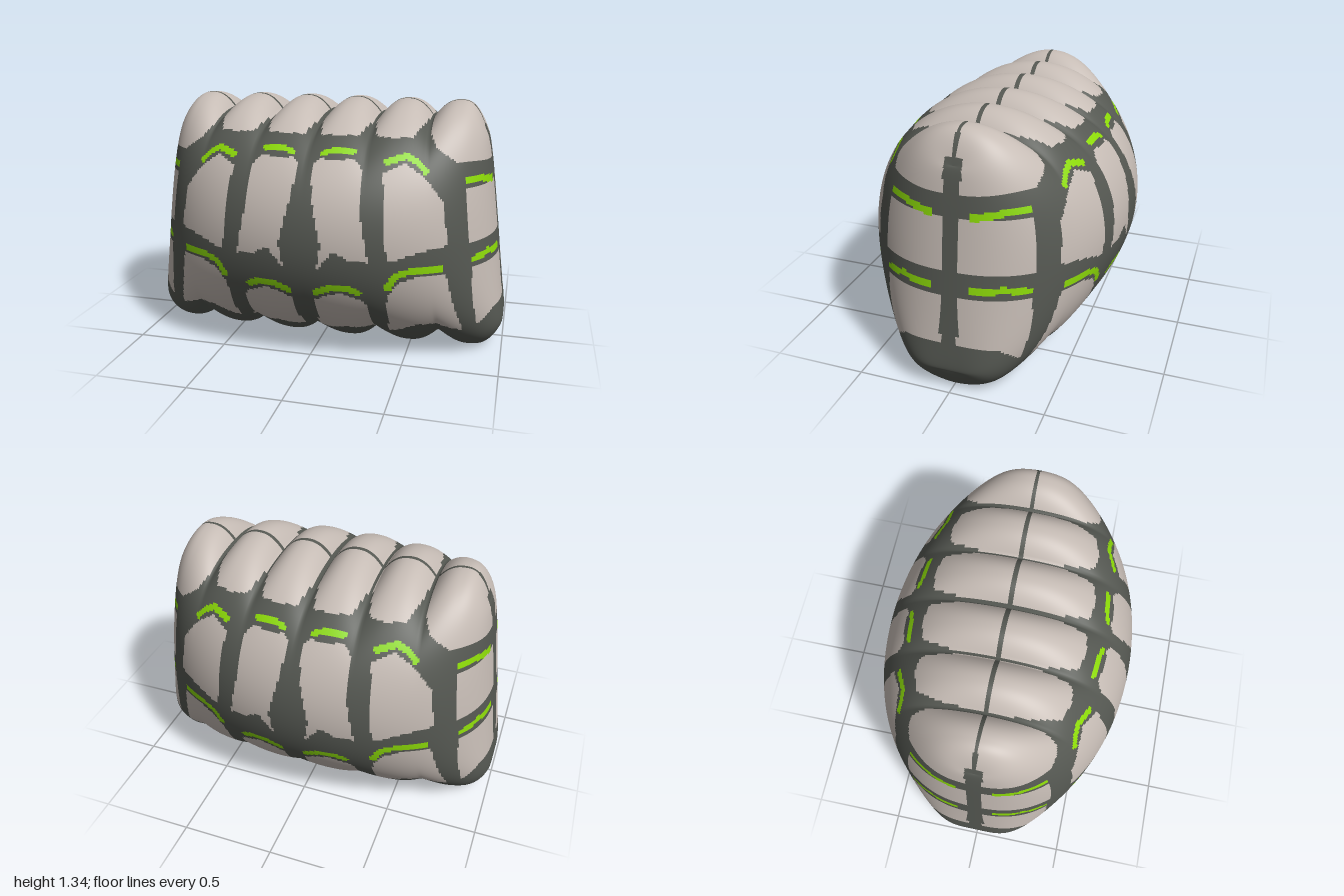
import * as THREE from 'three';

const COLS = 210, ROWS = 170; // columns across x, rows over one half of the ring

const padding = new THREE.MeshStandardMaterial({ color: 0xc6bcb5 });
padding.name = 'pale padding';
const strap = new THREE.MeshStandardMaterial({ color: 0x555852 });
strap.name = 'dark strap';
const trim = new THREE.MeshStandardMaterial({ color: 0x8cda08 });
trim.name = 'green trim';

// Pad outlines on one quarter, mirrored over x and z
const pads = [
  // top row
  [[0.008, 1.4], [0.012, 1.3], [0.045, 1.21], [0.14, 1.195], [0.24, 1.21], [0.275, 1.3], [0.278, 1.4]],
  [[0.29, 1.4], [0.295, 1.3], [0.33, 1.21], [0.42, 1.19], [0.51, 1.2], [0.555, 1.3], [0.565, 1.4]],
  [[0.575, 1.4], [0.585, 1.25], [0.63, 1.15], [0.73, 1.075], [1.1, 1.065], [1.1, 1.4]],
  // middle row
  [[0.035, 1.08], [0.07, 1.1], [0.14, 1.095], [0.24, 1.1], [0.28, 1.07], [0.305, 0.8], [0.345, 0.61],
    [0.25, 0.62], [0.17, 0.665], [0.085, 0.56], [0.11, 0.69], [0.055, 0.91]],
  [[0.39, 1.04], [0.49, 1.085], [0.59, 1.02], [0.68, 0.9], [0.715, 0.68], [0.6, 0.66], [0.43, 0.61], [0.415, 0.8]],
  [[0.78, 0.95], [1.1, 0.93], [1.1, 0.665], [0.81, 0.665]],
  // lower row
  [[0.055, 0.37], [0.12, 0.41], [0.2, 0.43], [0.32, 0.38], [0.345, 0.13], [0.27, 0.15], [0.19, 0.17], [0.05, 0.13]],
  [[0.43, 0.42], [0.49, 0.5], [0.57, 0.525], [0.71, 0.53], [0.75, 0.35], [0.8, 0.17], [0.65, 0.2], [0.57, 0.22], [0.42, 0.15]],
  [[0.83, 0.545], [1.1, 0.545], [1.1, 0.28], [0.95, 0.27], [0.87, 0.2], [0.845, 0.35]],
];

// Trim strokes on one quarter, each with its half thickness
const strokes = [
  [0.012, [[0.08, 1.125], [0.14, 1.137], [0.235, 1.137]]],
  [0.015, [[0.4, 1.09], [0.49, 1.115], [0.545, 1.095], [0.59, 1.05]]],
  [0.016, [[0.79, 0.985], [0.86, 0.98], [0.9, 0.955]]],
  [0.019, [[0.07, 0.42], [0.12, 0.45], [0.2, 0.465], [0.25, 0.455], [0.29, 0.435]]],
  [0.018, [[0.435, 0.47], [0.47, 0.53], [0.52, 0.555], [0.68, 0.56]]],
  [0.018, [[0.845, 0.58], [0.9, 0.595], [0.95, 0.585]]],
];

function inside(poly, x, y) {
  let hit = false;
  poly.forEach(([ax, ay], i) => {
    const [bx, by] = poly[(i + 1) % poly.length];
    if ((ay > y) !== (by > y) && x < ax + (bx - ax) * (y - ay) / (by - ay)) hit = !hit;
  });
  return hit;
}

function nearStroke([radius, line], x, y) {
  for (let i = 0; i + 1 < line.length; i++) {
    const [ax, ay] = line[i], dx = line[i + 1][0] - ax, dy = line[i + 1][1] - ay;
    const k = THREE.MathUtils.clamp(((x - ax) * dx + (y - ay) * dy) / (dx * dx + dy * dy), 0, 1);
    if (Math.hypot(x - ax - k * dx, y - ay - k * dy) < radius) return true;
  }
  return false;
}

// Half width of the cushion, rounded in under the lower corners
const halfWidth = (t) => 0.937 - 0.085 * t - (t < 0 ? 0.03 * t ** 6 : 0);

// Height before the lobes are pressed in
const height = (t) => 0.67 + (t < 0 ? 0.7 : 0.67) * t;

// Inflated cushion: s runs across, t runs from bottom to top
function surfacePoint(s, t, side) {
  const a = Math.abs(s) * 3, lobe = Math.min(2, Math.floor(a));
  const q = (a - lobe) * 2 - 1;
  const outer = lobe === 2 && q > 0;
  const base = t < 0 ? 0.125 : 0.095;
  const drop = outer ? 0.16 * Math.abs(q) ** 2.7 : base * Math.abs(q) ** 2.3;
  const y = Math.max(0, height(t) - Math.sign(t) * drop * t ** 4);
  const endPower = 0.41 - (t < 0 ? 0.3 : 0.1) * t * t;
  const z = side * 0.693 * Math.max(0, 1 - s * s) ** endPower
    * Math.max(0, 1 - t * t) ** (t > 0 ? 0.5 : 0.57);
  return [s * halfWidth(t), y, z];
}

// 0 padding, 1 strap, 2 trim
function region(s, t, z) {
  const x = Math.abs(s) * halfWidth(t), y = height(t), depth = Math.abs(z);
  if (depth < 0.011 || (Math.abs(s) > 0.985 && depth < 0.045)) return 1;
  if (depth > 0.095 && strokes.some((l) => nearStroke(l, x, y))) return 2;
  return pads.some((p) => inside(p, x, y)) ? 0 : 1;
}

export function createModel() {
  const ring = ROWS * 2, positions = [], params = [];
  for (let i = 0; i <= COLS; i++) {
    const s = Math.sin((i / COLS - 0.5) * Math.PI);
    for (let j = 0; j < ring; j++) {
      const k = j <= ROWS ? j / ROWS : 2 - j / ROWS;
      const t = Math.sin((k - 0.5) * Math.PI);
      const p = surfacePoint(s, t, j <= ROWS ? 1 : -1);
      positions.push(...p);
      params.push([s, t, p[2]]);
    }
  }

  // Sort every cell into its coloured part
  const lists = [[], [], []], all = [];
  for (let i = 0; i < COLS; i++) {
    for (let j = 0; j < ring; j++) {
      const next = (j + 1) % ring;
      const a = i * ring + j, b = a + ring, c = (i + 1) * ring + next, d = i * ring + next;
      const [s, t, z] = [0, 1, 2].map((n) => [a, b, c, d].reduce((sum, v) => sum + params[v][n], 0) / 4);
      const faces = [a, b, c, a, c, d];
      lists[region(s, t, z)].push(...faces);
      all.push(...faces);
    }
  }

  // Shared smooth normals so the parts join without a crease
  const whole = new THREE.BufferGeometry();
  whole.setAttribute('position', new THREE.Float32BufferAttribute(positions, 3));
  whole.setIndex(all);
  whole.computeVertexNormals();

  const group = new THREE.Group();
  group.name = 'paddedCushion';
  [['pads', padding], ['straps', strap], ['trimStripes', trim]].forEach(([name, material], n) => {
    const geometry = new THREE.BufferGeometry();
    geometry.setAttribute('position', whole.getAttribute('position'));
    geometry.setAttribute('normal', whole.getAttribute('normal'));
    geometry.setIndex(lists[n]);
    const mesh = new THREE.Mesh(geometry, material);
    mesh.name = name;
    group.add(mesh);
  });
  return group;
}
